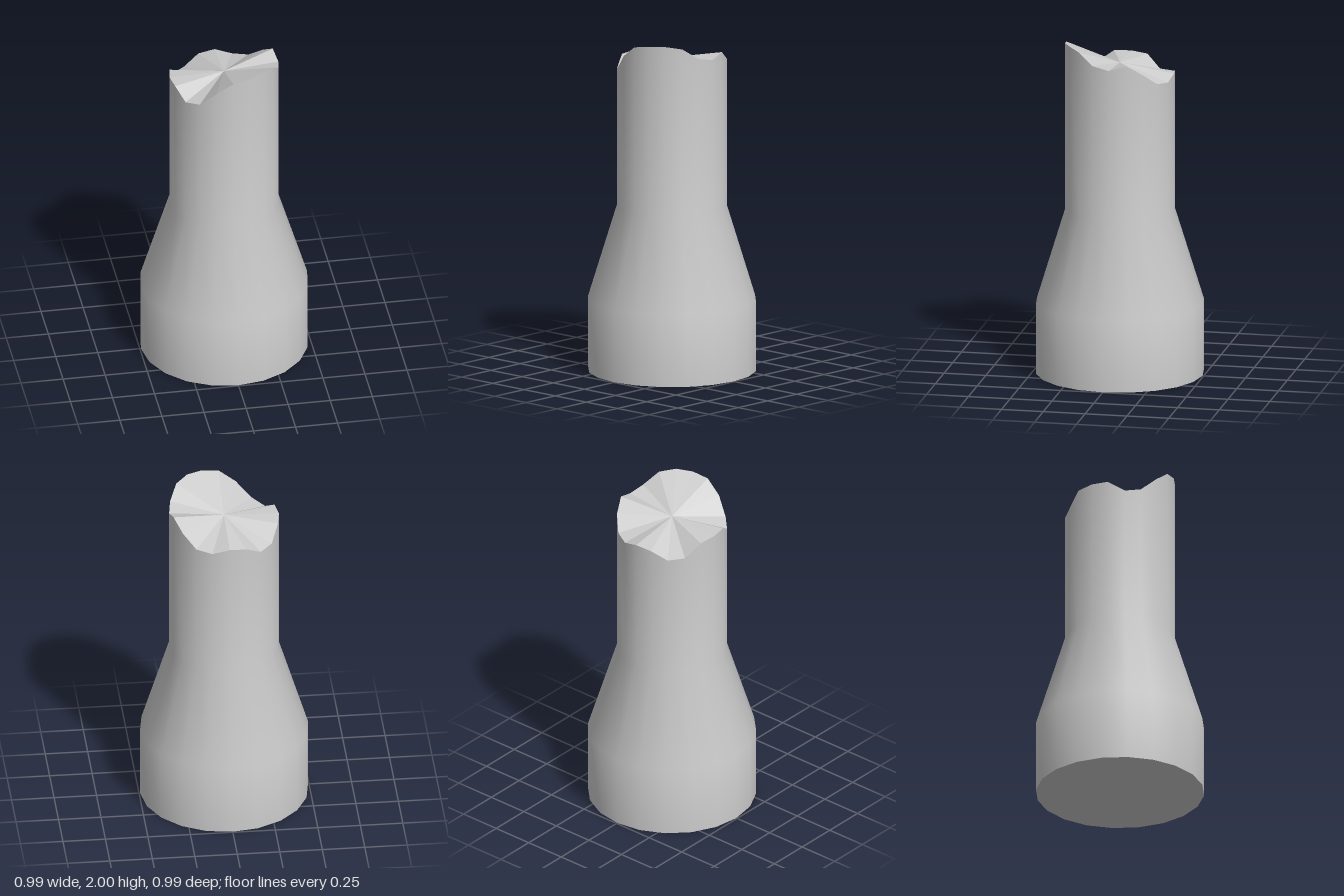
import * as THREE from 'three';

const SIDES = 20;
const NECK_RADIUS = 0.323;
const BASE_RADIUS = 0.494;
const CENTRE_HEIGHT = 1.87;
// Height of each corner of the broken rim, from +z round towards +x
const RIM = [
  1.98, 1.995, 2.0, 1.985, 1.92, 1.90, 1.93, 1.87, 1.80, 1.79,
  1.82, 1.81, 1.76, 1.77, 1.85, 1.86, 1.86, 1.80, 1.82, 1.91,
];

export function createModel() {
  const group = new THREE.Group();
  const material = new THREE.MeshStandardMaterial({ color: 0xcccccc });
  const add = (name, geometry, mat = material) => {
    const mesh = new THREE.Mesh(geometry, mat);
    mesh.name = name;
    group.add(mesh);
    return mesh;
  };

  // Turned wall: wide base, sloping shoulder, straight neck with a jagged rim
  const profile = [[BASE_RADIUS, 0], [BASE_RADIUS, 0.43], [NECK_RADIUS, 0.985], [NECK_RADIUS, 1.9]];
  const wall = new THREE.LatheGeometry(profile.map(([r, y]) => new THREE.Vector2(r, y)), SIDES);
  for (let i = 0; i <= SIDES; i++) {
    wall.attributes.position.setY(i * profile.length + profile.length - 1, RIM[i % SIDES]);
  }
  add('columnWall', wall);

  // Broken top: a faceted fan from the centre to the rim
  const corner = (i) => {
    const a = (i / SIDES) * Math.PI * 2;
    return [NECK_RADIUS * Math.sin(a), RIM[i % SIDES], NECK_RADIUS * Math.cos(a)];
  };
  const fan = [];
  for (let i = 0; i < SIDES; i++) fan.push(0, CENTRE_HEIGHT, 0, ...corner(i), ...corner(i + 1));
  const top = new THREE.BufferGeometry();
  top.setAttribute('position', new THREE.Float32BufferAttribute(fan, 3));
  top.computeVertexNormals();
  add('brokenTop', top);

  // Flat underside
  const bottom = new THREE.CircleGeometry(BASE_RADIUS, SIDES);
  bottom.rotateX(Math.PI / 2);
  add('underside', bottom);

  return group;
}
